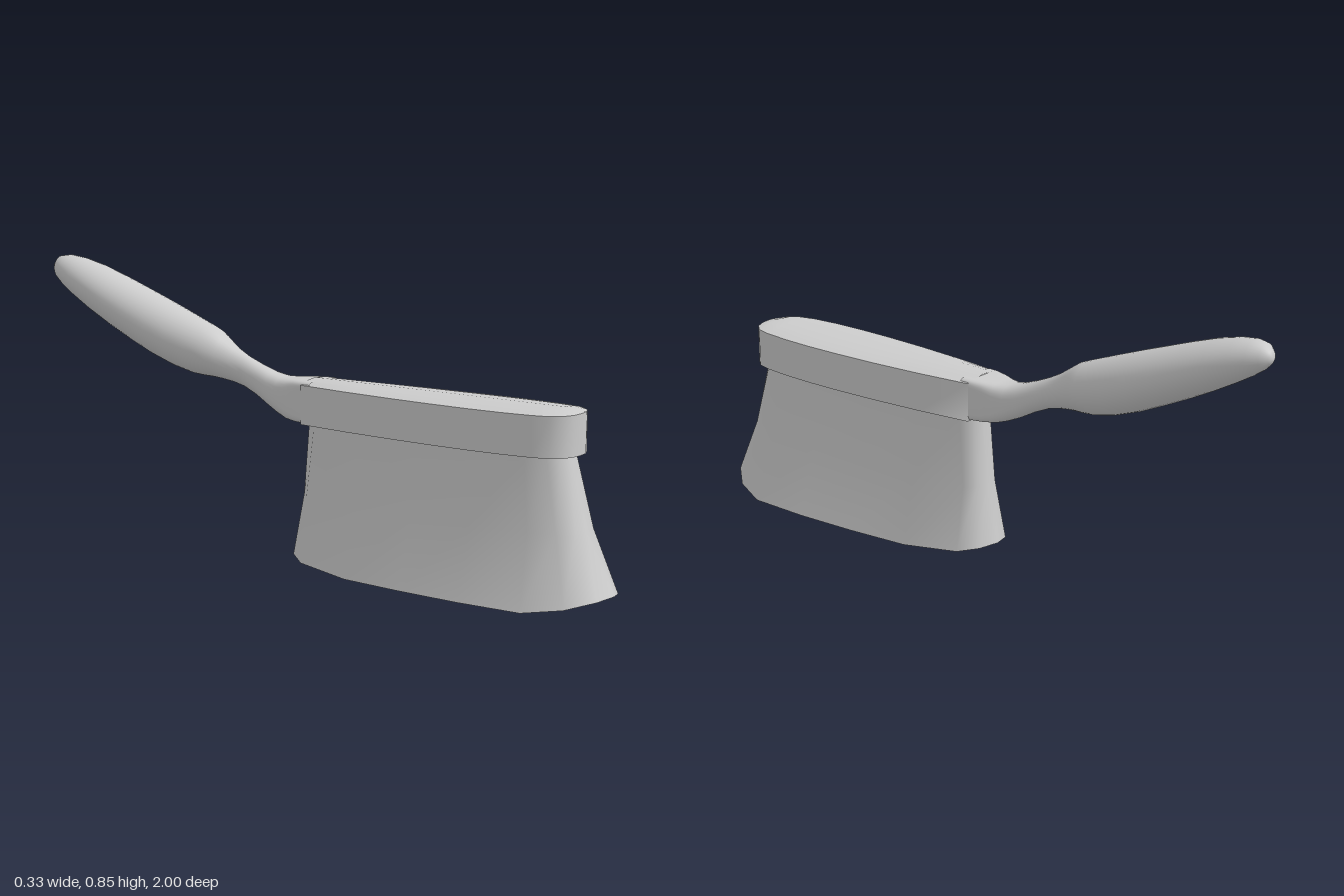
import * as THREE from 'three';
import { mergeVertices } from 'three/addons/utils/BufferGeometryUtils.js';

const material = new THREE.MeshStandardMaterial({ color: 0xcccccc, side: THREE.DoubleSide });

// Skin over rows of points; every row is a closed ring
function skin(name, rows) {
  const n = rows[0].length;
  const index = [];
  for (let i = 0; i < rows.length - 1; i++) {
    for (let j = 0; j < n; j++) {
      const k = (j + 1) % n;
      const a = i * n + j, b = i * n + k, c = a + n, d = b + n;
      index.push(a, c, b, b, c, d);
    }
  }
  let geometry = new THREE.BufferGeometry();
  geometry.setAttribute('position', new THREE.Float32BufferAttribute(rows.flat(2), 3));
  geometry.setIndex(index);
  geometry = mergeVertices(geometry, 1e-5);
  geometry.computeVertexNormals();
  const mesh = new THREE.Mesh(geometry, material);
  mesh.name = name;
  return mesh;
}

// Half outline [x, z, y] from front to back, mirrored into a full ring of [x, y, z]
function ring(half, y = 0, xScale = 1) {
  const right = half.map(([x, z, py = y]) => [x * xScale, py, z]);
  const left = right.slice(1, -1).reverse().map(([x, py, z]) => [-x, py, z]);
  return [...right, ...left];
}

function createBristles() {
  const top = [[0, 0.855], [0.04, 0.85], [0.07, 0.82], [0.085, 0.76], [0.09, 0.6],
    [0.085, 0.4], [0.075, 0.2], [0.06, 0.04], [0.035, 0.005], [0, 0]];
  const middle = [[0, 0.91], [0.05, 0.905], [0.08, 0.86], [0.1, 0.78], [0.105, 0.6],
    [0.098, 0.4], [0.088, 0.2], [0.07, 0.02], [0.04, -0.01], [0, -0.015]];
  const bottom = [[0, 1, 0.042], [0.06, 0.98, 0.035], [0.12, 0.91, 0.015], [0.163, 0.8, 0],
    [0.166, 0.6, 0], [0.155, 0.4, 0], [0.135, 0.2, 0], [0.1, 0.02, 0.015],
    [0.06, -0.035, 0.027], [0, -0.055, 0.032]];
  const group = new THREE.Group();
  group.name = 'bristles';
  group.add(
    skin('bristleSides', [ring(top, 0.425), ring(middle, 0.21), ring(bottom)]),
    skin('bristleTips', [ring(bottom), ring(bottom, 0, 0)])
  );
  return group;
}

function createHead() {
  const outline = [[0, 0.887], [0.035, 0.884], [0.065, 0.87], [0.09, 0.84], [0.103, 0.79],
    [0.112, 0.7], [0.115, 0.6], [0.113, 0.48], [0.106, 0.34], [0.092, 0.17], [0.071, 0], [0, 0]];
  const low = 0.42, edge = 0.536;
  // The top rises gently towards the centre line, and stays low at the front rim
  const dome = (f) => ring(outline.map(([x, z], i) =>
    [x * f, z, edge + (i < 3 ? 0.003 * i : 0.014) * (1 - f * f)]));
  const group = new THREE.Group();
  group.name = 'head';
  group.add(
    skin('headSides', [ring(outline, edge), ring(outline, low)]),
    skin('headTop', [dome(0), dome(0.5), dome(0.8), dome(1)]),
    skin('headUnderside', [ring(outline, low), ring(outline, low, 0)])
  );
  return group;
}

function createHandle() {
  // Stations: z, half width, bottom, top, squareness (2 is an ellipse)
  const stations = [
    [0.03, 0.071, 0.421, 0.546, 9], [0, 0.07, 0.42, 0.546, 8], [-0.04, 0.064, 0.42, 0.545, 6],
    [-0.075, 0.058, 0.422, 0.543, 4], [-0.11, 0.052, 0.432, 0.544, 3],
    [-0.15, 0.045, 0.45, 0.553, 2.5], [-0.2, 0.039, 0.477, 0.571, 2.2],
    [-0.25, 0.036, 0.498, 0.592, 2], [-0.29, 0.041, 0.508, 0.613, 2],
    [-0.33, 0.055, 0.514, 0.64, 2], [-0.36, 0.067, 0.517, 0.66, 2],
    [-0.39, 0.076, 0.518, 0.672, 2], [-0.43, 0.081, 0.521, 0.687, 2],
    [-0.5, 0.089, 0.537, 0.713, 2], [-0.58, 0.093, 0.565, 0.742, 2],
    [-0.66, 0.093, 0.6, 0.77, 2], [-0.74, 0.09, 0.637, 0.798, 2],
    [-0.82, 0.083, 0.677, 0.824, 2], [-0.89, 0.07, 0.715, 0.841, 2],
    [-0.94, 0.055, 0.744, 0.847, 2], [-0.975, 0.037, 0.768, 0.842, 2],
    [-0.993, 0.019, 0.787, 0.825, 2], [-1, 0, 0.803, 0.803, 2]
  ];
  const sides = 32;
  const soften = (v, n) => Math.sign(v) * Math.abs(v) ** (2 / n);
  const rows = stations.map(([z, w, bottom, top, n]) =>
    Array.from({ length: sides }, (_, j) => {
      const t = (j / sides) * Math.PI * 2;
      const y = (top + bottom) / 2 + soften(Math.sin(t), n) * (top - bottom) / 2;
      return [w * soften(Math.cos(t), n), y, z];
    }));
  return skin('handle', rows);
}

export function createModel() {
  const model = new THREE.Group();
  model.name = 'brush';
  model.add(createBristles(), createHead(), createHandle());
  return model;
}
